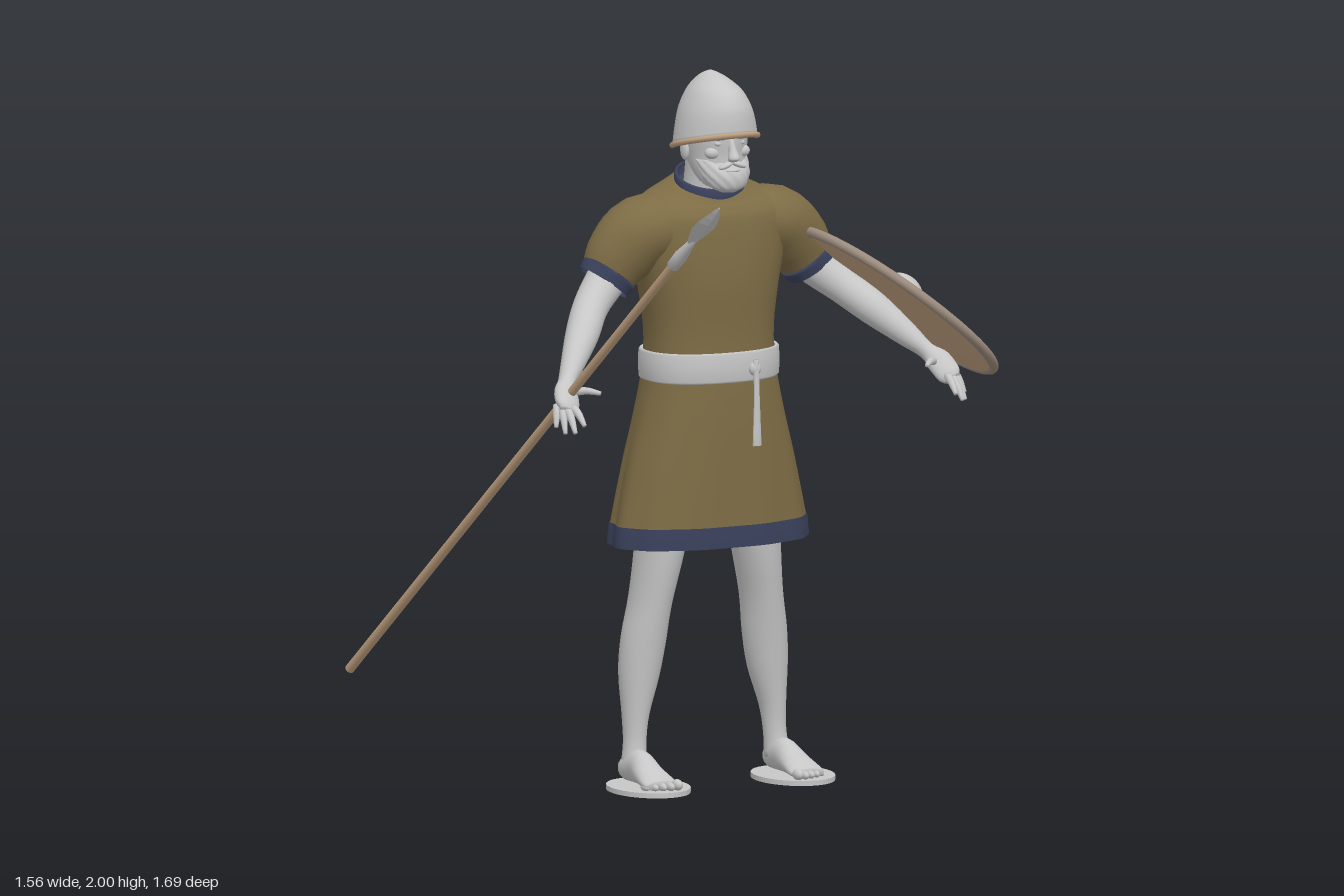
import * as THREE from 'three';

const mat = (name, color, side = THREE.FrontSide) => {
  const m = new THREE.MeshStandardMaterial({ color, side });
  m.name = name;
  return m;
};

// Smooth loft through sections [x, y, z, a, b, tilt]; b is the radius along ref, a across it.
// level keeps the rings horizontal, tilt slopes them down towards +z.
function loft(sections, { n = 24, steps = 4, ref = [0, 0, 1], level = false, pow = 1, cap = true, ripple = null, flat = false } = {}) {
  const path = new THREE.CatmullRomCurve3(sections.map(s => new THREE.Vector3(s[0], s[1], s[2])), false, 'catmullrom', 0.5);
  const size = new THREE.CatmullRomCurve3(sections.map(s => new THREE.Vector3(s[3], s[4], s[5] || 0)), false, 'catmullrom', 0.5);
  const count = (sections.length - 1) * steps;
  const R = new THREE.Vector3(...ref), pos = [], idx = [];
  const soft = c => Math.sign(c) * Math.abs(c) ** pow;
  for (let i = 0; i <= count; i++) {
    const k = i / count, c = path.getPoint(k), d = size.getPoint(k);
    const t = level ? new THREE.Vector3(0, Math.sign(sections.at(-1)[1] - sections[0][1]), 0) : path.getTangent(k);
    const u = new THREE.Vector3().crossVectors(R, t).normalize();
    const v = new THREE.Vector3().crossVectors(t, u);
    for (let j = 0; j < n; j++) {
      const w = j / n * Math.PI * 2;
      const f = ripple ? ripple(c.y, w) : 1;
      const p = c.clone().addScaledVector(u, soft(Math.cos(w)) * d.x * f).addScaledVector(v, soft(Math.sin(w)) * d.y * f);
      pos.push(p.x, p.y - (p.z - c.z) * d.z, p.z);
      if (i < count) {
        const a = i * n + j, b = i * n + (j + 1) % n;
        idx.push(a, b, a + n, b, b + n, a + n);
      }
    }
  }
  if (cap) {
    const first = pos.length / 3, last = count * n;
    pos.push(...sections[0].slice(0, 3), ...sections.at(-1).slice(0, 3));
    for (let j = 0; j < n; j++) {
      const q = (j + 1) % n;
      idx.push(first, q, j, first + 1, last + j, last + q);
    }
  }
  let g = new THREE.BufferGeometry();
  g.setAttribute('position', new THREE.Float32BufferAttribute(pos, 3));
  g.setIndex(idx);
  if (flat) g = g.toNonIndexed();
  g.computeVertexNormals();
  return g;
}

// Closed horizontal band with a rounded edge
const band = (y0, y1, z, a, b, tilt = 0, edge = 0.008, pow = 1) => loft([
  [0, y0, z, a - edge, b - edge, tilt], [0, y0 + 0.003, z, a, b, tilt],
  [0, y1 - 0.003, z, a, b, tilt], [0, y1, z, a - edge, b - edge, tilt],
], { n: 40, level: true, pow, steps: 2, cap: false });

export function createModel() {
  const root = new THREE.Group();
  root.name = 'spearman';
  const grey = mat('pale grey', 0xc6c6c6);
  const cloth = mat('olive cloth', 0x7d6c45, THREE.DoubleSide);
  const trim = mat('navy trim', 0x3a415c, THREE.DoubleSide);
  const wood = mat('tan wood', 0xc2a281);
  const edging = mat('grey brown edging', 0x9c8c7e);

  const body = new THREE.Group();
  body.name = 'body';
  body.position.x = -0.017;
  root.add(body);
  const add = (name, geo, material, parent = body) => {
    const m = new THREE.Mesh(geo, material);
    m.name = name;
    parent.add(m);
    return m;
  };
  const ball = (name, x, y, z, a, b, c, parent = body) => {
    const m = add(name, new THREE.SphereGeometry(1, 18, 12), grey, parent);
    m.position.set(x, y, z);
    m.scale.set(a, b, c);
    return m;
  };

  // Tunic
  add('tunicTop', loft([
    [0, 1.16, -0.12, 0.188, 0.135], [0, 1.28, -0.122, 0.186, 0.135], [0, 1.4, -0.125, 0.202, 0.142],
    [0, 1.5, -0.13, 0.225, 0.142], [0, 1.59, -0.13, 0.24, 0.13], [0, 1.64, -0.125, 0.205, 0.108, 0.15],
    [0, 1.67, -0.118, 0.135, 0.088, 0.35], [0, 1.69, -0.115, 0.095, 0.075, 0.45],
  ], { n: 40, level: true, pow: 0.85, cap: false }), cloth);
  const folds = (y, w) => 1 + Math.min(1, Math.max(0, (1.15 - y) / 0.4)) *
    (Math.sin(w) < 0 ? 0.028 : 0.01) * Math.sin(w * 11);
  const skirtOptions = { n: 88, level: true, pow: 0.9, cap: false, ripple: folds };
  add('skirt', loft([
    [0, 1.2, -0.12, 0.188, 0.138], [0, 1.12, -0.12, 0.2, 0.145], [0, 1.02, -0.12, 0.222, 0.15],
    [0, 0.9, -0.12, 0.252, 0.153], [0, 0.735, -0.12, 0.287, 0.156],
  ], skirtOptions), cloth);
  add('hem', loft([[0, 0.738, -0.12, 0.29, 0.159], [0, 0.705, -0.12, 0.294, 0.16], [0, 0.678, -0.12, 0.296, 0.16]], skirtOptions), trim);
  add('collar', band(1.668, 1.706, -0.115, 0.102, 0.08, 0.43), trim);

  // Belt with hanging end
  add('belt', band(1.142, 1.222, -0.12, 0.2, 0.15, 0, 0.012, 0.88), grey);
  const tail = add('beltEnd', loft([[0, 1.2, 0.036, 0.008, 0.008], [0, 1.1, 0.042, 0.009, 0.006], [0, 0.96, 0.044, 0.014, 0.005]], { n: 10 }), grey);
  tail.position.x = 0.067;
  ball('beltKnot', 0.067, 1.175, 0.03, 0.018, 0.02, 0.015);

  // Limbs, mirrored by s
  for (const [side, s] of [['left', 1], ['right', -1]]) {
    const limb = new THREE.Group();
    limb.name = side + 'Limbs';
    body.add(limb);
    const part = (name, list, material, options) =>
      add(side + name, loft(list.map(([x, ...r]) => [x * s, ...r]), options), material, limb);

    part('Sleeve', [[0.1, 1.565, -0.13, 0.085, 0.1], [0.2, 1.56, -0.13, 0.1, 0.112], [0.27, 1.5, -0.13, 0.098, 0.09],
      [0.312, 1.442, -0.128, 0.08, 0.068]], cloth, { cap: false });
    part('Cuff', [[0.304, 1.453, -0.128, 0.084, 0.073], [0.325, 1.424, -0.128, 0.08, 0.068]], trim, { cap: false });
    part('Arm', [[0.26, 1.5, -0.13, 0.06, 0.055], [0.32, 1.432, -0.12, 0.057, 0.055], [0.39, 1.37, -0.075, 0.05, 0.05],
      [0.455, 1.308, 0.0, 0.047, 0.047], [0.52, 1.242, 0.07, 0.034, 0.034], [0.56, 1.2, 0.112, 0.024, 0.026],
      [0.58, 1.175, 0.145, 0.036, 0.026], [0.592, 1.145, 0.18, 0.036, 0.02], [0.6, 1.13, 0.195, 0.024, 0.013]], grey);

    // Fingers: base to tip
    [[0.617, 1.145, 0.165, 0.636, 1.09, 0.195], [0.61, 1.14, 0.18, 0.622, 1.075, 0.225],
      [0.598, 1.137, 0.19, 0.603, 1.078, 0.248], [0.583, 1.14, 0.195, 0.578, 1.098, 0.255],
      [0.565, 1.175, 0.15, 0.508, 1.178, 0.215]].forEach(([x, y, z, X, Y, Z], i) => part(i < 4 ? 'Finger' : 'Thumb', [
      [x, y, z, 0.012, 0.012], [(x + X) / 2, (y + Y) / 2 + 0.006, (z + Z) / 2, 0.0105, 0.0105],
      [X, Y, Z, 0.006, 0.006]], grey, { n: 10 }));

    part('Leg', [[0.11, 0.95, -0.12, 0.085, 0.1], [0.147, 0.68, -0.128, 0.067, 0.088], [0.172, 0.52, -0.14, 0.058, 0.075],
      [0.188, 0.41, -0.15, 0.062, 0.068], [0.2, 0.31, -0.155, 0.057, 0.06], [0.213, 0.2, -0.15, 0.038, 0.043],
      [0.218, 0.12, -0.145, 0.032, 0.035], [0.223, 0.05, -0.14, 0.036, 0.042]], grey);
    part('Foot', [[0.225, 0.04, -0.19, 0.016, 0.018], [0.225, 0.046, -0.165, 0.034, 0.036], [0.224, 0.058, -0.1, 0.036, 0.048],
      [0.227, 0.044, -0.04, 0.044, 0.034], [0.228, 0.03, 0.02, 0.052, 0.02], [0.228, 0.025, 0.045, 0.047, 0.014]], grey, { ref: [0, 1, 0] });
    for (let i = 0; i < 5; i++) {
      const r = 0.016 - i * (i ? 0.0008 : 0) - (i ? 0.003 : 0);
      ball(side + 'Toe', s * (0.188 + i * 0.021), 0.012 + r, 0.056 - i * i * 0.002, r * 0.85, r, 0.022, limb);
    }
    const base = add(side + 'FootPlate', new THREE.CylinderGeometry(1, 1, 0.014, 36), grey, limb);
    base.position.set(s * 0.225, 0.007, -0.047);
    base.scale.set(0.11, 1, 0.143);
  }

  // Head
  const head = new THREE.Group();
  head.name = 'head';
  body.add(head);
  add('neck', loft([[0, 1.6, -0.125, 0.085, 0.07], [0, 1.69, -0.115, 0.073, 0.068], [0, 1.8, -0.1, 0.07, 0.075]]), grey, head);
  add('skull', loft([[0, 1.68, -0.015, 0.03, 0.03], [0, 1.695, -0.035, 0.058, 0.055], [0, 1.73, -0.062, 0.074, 0.083],
    [0, 1.775, -0.08, 0.082, 0.1], [0, 1.82, -0.083, 0.087, 0.107], [0, 1.88, -0.085, 0.087, 0.107]], { n: 32, level: true }), grey, head);
  add('beard', loft([[0, 1.674, -0.002, 0.022, 0.022], [0, 1.688, -0.006, 0.05, 0.042], [0, 1.715, -0.02, 0.068, 0.06],
    [0, 1.742, -0.035, 0.075, 0.066], [0, 1.765, -0.05, 0.076, 0.06]], {
    n: 40, level: true, ripple: (y, w) => 1 + 0.025 * Math.sin(w * 12 + y * 150) }), grey, head);
  add('nose', loft([[0, 1.825, 0.012, 0.009, 0.012], [0, 1.795, 0.026, 0.011, 0.013], [0, 1.772, 0.034, 0.017, 0.017],
    [0, 1.762, 0.028, 0.012, 0.01]], { n: 14, level: true }), grey, head);
  ball('lip', 0, 1.737, 0.028, 0.022, 0.006, 0.009, head);
  for (const s of [-1, 1]) {
    ball('moustache', s * 0.02, 1.752, 0.024, 0.024, 0.008, 0.012, head).rotation.z = -s * 0.35;
    ball('brow', s * 0.035, 1.83, 0.01, 0.027, 0.009, 0.014, head).rotation.y = s * 0.4;
    ball('eye', s * 0.033, 1.812, 0.007, 0.014, 0.008, 0.01, head);
    ball('cheek', s * 0.045, 1.785, -0.008, 0.024, 0.018, 0.02, head);
    ball('ear', s * 0.087, 1.785, -0.095, 0.011, 0.03, 0.02, head);
  }

  // Helmet
  add('helmet', loft([[0, 1.807, -0.082, 0.116, 0.129, -0.25], [0, 1.86, -0.083, 0.107, 0.128, -0.18],
    [0, 1.905, -0.085, 0.094, 0.122, -0.1], [0, 1.95, -0.088, 0.07, 0.099, -0.04], [0, 1.98, -0.098, 0.04, 0.058],
    [0, 1.994, -0.107, 0.018, 0.024], [0, 2.0, -0.11, 0.003, 0.003]], { n: 40, level: true }), grey, head);
  add('helmetRim', band(1.798, 1.815, -0.082, 0.122, 0.135, -0.25, 0.01), wood, head);

  // Round shield
  const shield = new THREE.Group();
  shield.name = 'shield';
  shield.position.set(0.51, 1.325, -0.011);
  shield.rotation.z = -0.688;
  root.add(shield);
  const lathe = pts => new THREE.LatheGeometry(pts.map(p => new THREE.Vector2(...p)), 48);
  add('shieldBoard', lathe([[0, -0.006], [0.33, -0.01], [0.33, 0.008], [0.17, 0.013], [0, 0.015]]), wood, shield);
  add('shieldRim', new THREE.TorusGeometry(0.329, 0.014, 10, 64).rotateX(Math.PI / 2), edging, shield);
  add('shieldBoss', new THREE.SphereGeometry(0.073, 28, 12, 0, Math.PI * 2, 0, Math.PI / 2), grey, shield).position.y = 0.006;

  // Spear from butt to tip
  const butt = new THREE.Vector3(-0.77, 0.262, -0.835);
  const along = new THREE.Vector3(-0.475, 1.79, 0.84).sub(butt);
  const spear = new THREE.Group();
  spear.name = 'spear';
  spear.position.copy(butt);
  spear.quaternion.setFromUnitVectors(new THREE.Vector3(0, 1, 0), along.clone().normalize());
  root.add(spear);
  add('spearShaft', new THREE.CylinderGeometry(0.0125, 0.0135, 2.02, 14), wood, spear).position.y = 1.01;
  add('spearSocket', lathe([[0, 2], [0.018, 2.002], [0.019, 2.05], [0.012, 2.1], [0.008, 2.14], [0, 2.14]]), grey, spear);
  add('spearBlade', loft([[0, 2.105, 0, 0.009, 0.008], [0, 2.185, 0, 0.036, 0.012], [0, 2.24, 0, 0.024, 0.009],
    [0, 2.288, 0, 0.002, 0.002]], { n: 4, steps: 2, level: true, flat: true }), grey, spear);

  return root;
}
